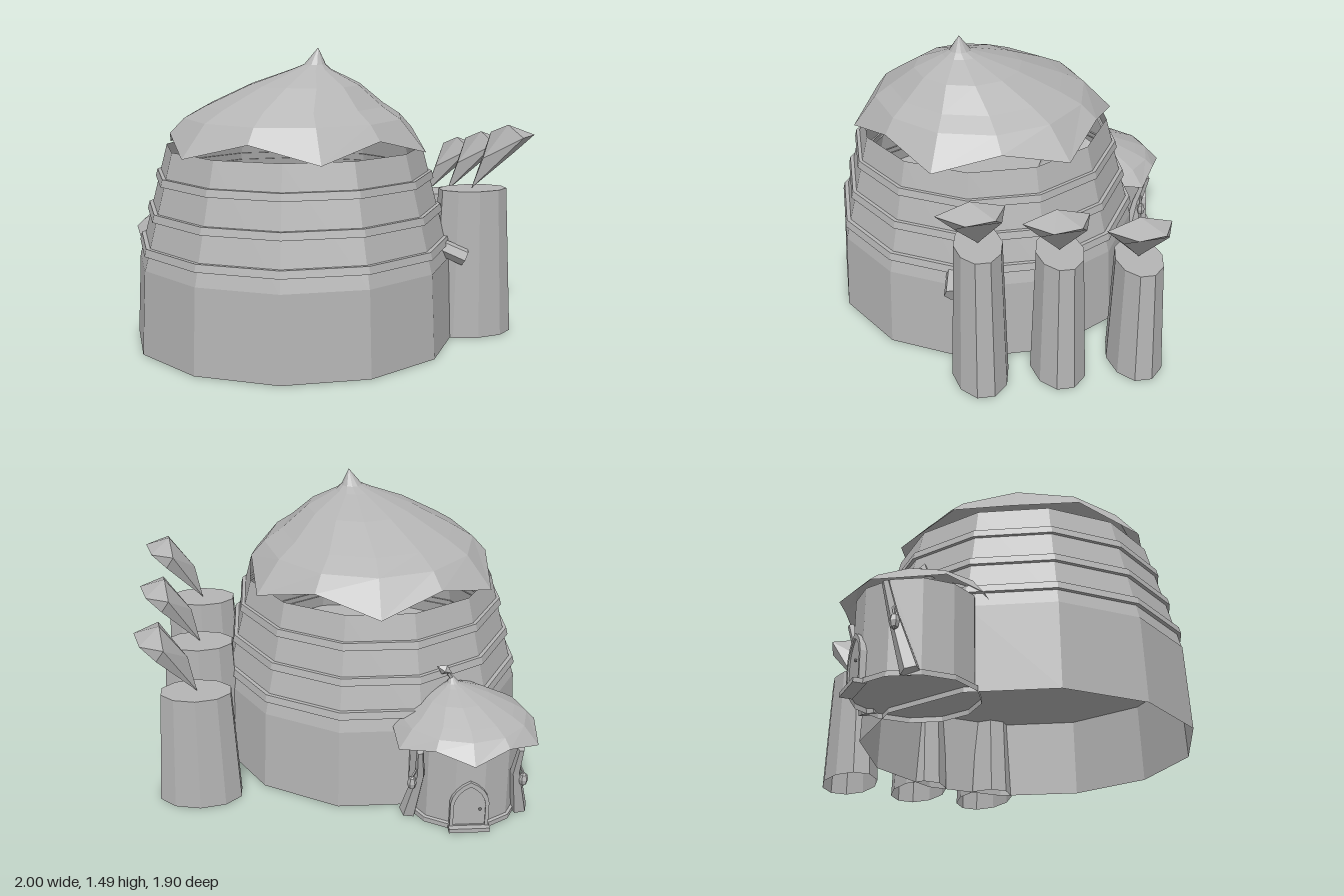
import * as THREE from 'three';

const clay = new THREE.MeshStandardMaterial({ color: 0xb4b4b4, side: THREE.DoubleSide });
clay.name = 'clay grey';

// Faceted mesh: one normal per face
function part(name, geometry, parent, x = 0, y = 0, z = 0) {
  const g = geometry.index ? geometry.toNonIndexed() : geometry;
  g.computeVertexNormals();
  const mesh = new THREE.Mesh(g, clay);
  mesh.name = name;
  mesh.position.set(x, y, z);
  parent.add(mesh);
  return mesh;
}

// Twelve-sided ring wall with flat sides facing the axes; profile is [apothem, y]
function wall(profile) {
  const pts = profile.map(([r, y]) => new THREE.Vector2(r / Math.cos(Math.PI / 12), y));
  return new THREE.LatheGeometry(pts, 12, Math.PI / 12);
}

function fromTriangles(points, faces) {
  const g = new THREE.BufferGeometry();
  g.setFromPoints(points.map(p => new THREE.Vector3(...p)));
  g.setIndex(faces.flat());
  return g;
}

// Straight bar between two points
function bar(name, a, b, r0, r1, sides, parent) {
  const from = new THREE.Vector3(...a), to = new THREE.Vector3(...b);
  const dir = to.clone().sub(from);
  const mesh = part(name, new THREE.CylinderGeometry(r1, r0, dir.length(), sides), parent);
  mesh.position.copy(from).add(to).multiplyScalar(0.5);
  mesh.quaternion.setFromUnitVectors(new THREE.Vector3(0, 1, 0), dir.normalize());
  return mesh;
}

// Scalloped roof whose rings drift towards an off-centre tip
function roofGeometry() {
  const rings = [ // radius, y, x offset, z offset
    [0.69, 0, 0, 0], [0.555, 0.16, 0, 0.015], [0.455, 0.22, 0.005, 0.035],
    [0.28, 0.325, 0.045, 0.085], [0.10, 0.4, 0.07, 0.12], [0.055, 0.425, 0.085, 0.13], [0.001, 0.505, 0.1, 0.135],
  ];
  const points = [], faces = [], n = 12;
  rings.forEach(([r, y, ox, oz], k) => {
    for (let i = 0; i < n; i++) {
      const a = i / n * Math.PI * 2, lifted = k === 0 && i % 2 === 1;
      const rad = lifted ? 0.625 : r;
      points.push([ox + rad * Math.sin(a), lifted ? 0.085 : y, oz + rad * Math.cos(a)]);
      if (k > 0) {
        const j = (i + 1) % n, p = (k - 1) * n, q = k * n;
        faces.push([p + i, p + j, q + j], [p + i, q + j, q + i]);
      }
    }
  });
  return fromTriangles(points, faces);
}

// Curled puff flaring from a point, hooked over towards +x
function puffGeometry() {
  const points = [
    [0, 0, 0], [0.04, 0.16, 0.05], [0.19, 0.28, 0.215], [0.17, 0.33, 0.055], [0.14, 0.275, -0.11],
    [0.3, 0.28, 0.09], [0.26, 0.272, -0.05], [0.17, 0.19, 0.125], [0.18, 0.21, -0.09],
  ];
  const faces = [
    [0, 2, 1], [1, 2, 3], [1, 3, 4], [0, 1, 4],   // back fan
    [3, 2, 5], [3, 5, 6], [3, 6, 4],              // top of the hook
    [2, 7, 5], [7, 8, 5], [8, 6, 5], [8, 4, 6],   // underside of the hook
    [0, 7, 2], [0, 8, 7], [0, 4, 8],              // stem
  ];
  return fromTriangles(points, faces);
}

// Pointed arch outline
function arch(Type, w, h) {
  const s = new Type();
  s.moveTo(-w, 0);
  s.lineTo(w, 0);
  s.lineTo(w, h * 0.55);
  s.quadraticCurveTo(w * 0.9, h * 0.85, 0, h);
  s.quadraticCurveTo(-w * 0.9, h * 0.85, -w, h * 0.55);
  s.closePath();
  return s;
}

export function createModel() {
  const model = new THREE.Group();
  model.name = 'roundHouse';

  // Main house
  const house = new THREE.Group();
  house.name = 'mainHouse';
  house.position.set(-0.207, 0, 0.14);
  model.add(house);
  part('baseWall', wall([[0.795, 0], [0.776, 0.42]]), house);
  part('upperWall', wall([[0, 0.41], [0.776, 0.41], [0.63, 0.99]]), house);
  for (const y of [0.49, 0.655, 0.825]) {
    const r = 0.776 - (y - 0.42) * 0.26;
    part('wallBand', wall([[r - 0.01, y], [r + 0.018, y], [r + 0.009, y + 0.037], [r - 0.02, y + 0.037]]), house);
  }
  part('mainRoof', roofGeometry(), house, 0, 0.98, 0);
  bar('spout', [0.44, 0.51, 0.38], [0.625, 0.425, 0.42], 0.042, 0.045, 6, model);

  // Three chimneys of falling height, each with a puff
  [[0.3, 0.76], [-0.095, 0.68], [-0.49, 0.6]].forEach(([z, h]) => {
    const chimney = new THREE.Group();
    chimney.name = 'chimney';
    chimney.position.set(0.7, 0, z);
    model.add(chimney);
    const stack = new THREE.CylinderGeometry(0.118, 0.142, h, 10, 1, true);
    part('chimneyStack', stack.scale(1.53, 1, 1), chimney, 0, h / 2, 0);
    const top = new THREE.CircleGeometry(0.118, 10).rotateZ(Math.PI / 2).rotateX(-Math.PI / 2);
    part('chimneyTop', top.scale(1.53, 1, 1), chimney, 0, h, 0);
    part('puff', puffGeometry(), chimney, -0.005, h, 0);
  });

  // Small hut at the back
  const hut = new THREE.Group();
  hut.name = 'smallHut';
  hut.position.set(-0.62, 0, -0.6);
  model.add(hut);
  part('hutWall', wall([[0.285, 0], [0.285, 0.025], [0.272, 0.03], [0.268, 0.46]]), hut);
  part('hutFloor', wall([[0, 0.025], [0.285, 0.025]]), hut);
  const hutRoof = part('hutRoof', roofGeometry(), hut, 0, 0.405, 0);
  hutRoof.scale.set(0.57, 0.53, 0.53);
  const leaf = part('roofLeaf', new THREE.OctahedronGeometry(0.04), hut, 0.095, 0.705, 0.06);
  leaf.scale.set(1.1, 0.7, 0.6);
  leaf.rotation.z = 0.5;
  bar('leafStem', [0.06, 0.66, 0.07], [0.085, 0.7, 0.062], 0.012, 0.008, 5, hut);

  // Arched door with frame, knob and step
  const frame = arch(THREE.Shape, 0.095, 0.26);
  frame.holes.push(arch(THREE.Path, 0.078, 0.235));
  part('doorFrame', new THREE.ExtrudeGeometry(frame, { depth: 0.03, bevelEnabled: false, curveSegments: 4 }), hut, 0, 0.01, -0.288);
  part('doorPanel', new THREE.ExtrudeGeometry(arch(THREE.Shape, 0.078, 0.235), { depth: 0.02, bevelEnabled: false, curveSegments: 4 }), hut, 0, 0.01, -0.28);
  part('doorKnob', new THREE.IcosahedronGeometry(0.009), hut, -0.05, 0.12, -0.293);
  part('doorStep', new THREE.BoxGeometry(0.2, 0.022, 0.06), hut, 0, 0.011, -0.285);

  // Leaning props and hanging lanterns on both sides
  for (const s of [-1, 1]) {
    bar('prop', [s * 0.28, 0.01, -0.125], [s * 0.235, 0.27, -0.19], 0.045, 0.026, 5, hut);
    bar('propTop', [s * 0.235, 0.26, -0.188], [s * 0.245, 0.42, -0.235], 0.026, 0.018, 5, hut);
    const lantern = part('lantern', new THREE.SphereGeometry(0.024, 6, 4), hut, s * 0.275, 0.225, -0.2);
    lantern.scale.y = 1.6;
    bar('lanternHook', [s * 0.275, 0.255, -0.2], [s * 0.25, 0.31, -0.2], 0.006, 0.006, 4, hut);
  }
  return model;
}
